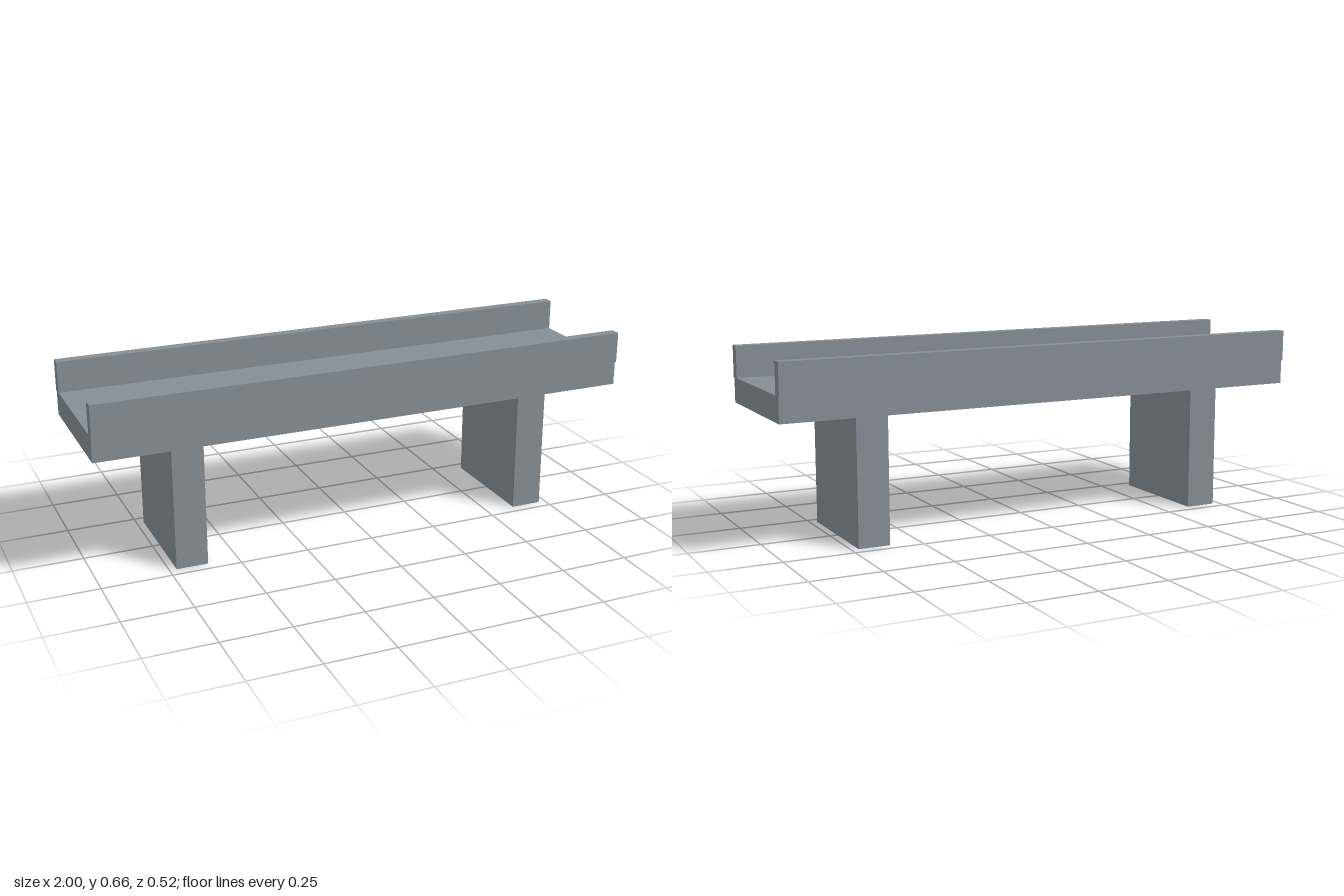
import * as THREE from 'three';

export function createModel() {
  const group = new THREE.Group();
  const concrete = new THREE.MeshStandardMaterial({ color: 0x868e96 });
  concrete.name = 'concrete grey';

  // Box given by its centre x, z, its bottom and top, and its width and depth
  function block(name, x, z, bottom, top, width, depth) {
    const mesh = new THREE.Mesh(new THREE.BoxGeometry(width, top - bottom, depth), concrete);
    mesh.name = name;
    mesh.position.set(x, (bottom + top) / 2, z);
    group.add(mesh);
  }

  // Deck slab
  block('deck', 0, 0, 0.456, 0.546, 2, 0.502);

  for (const side of [-1, 1]) {
    const label = side > 0 ? 'left' : 'right';
    // Supporting piers
    block(label + 'Pier', side * 0.667, 0, 0, 0.456, 0.114, 0.424);
    // Parapets, slightly overhanging the deck edges
    block(side > 0 ? 'frontParapet' : 'backParapet', 0, side * 0.24, 0.545, 0.659, 2, 0.038);
  }
  return group;
}
